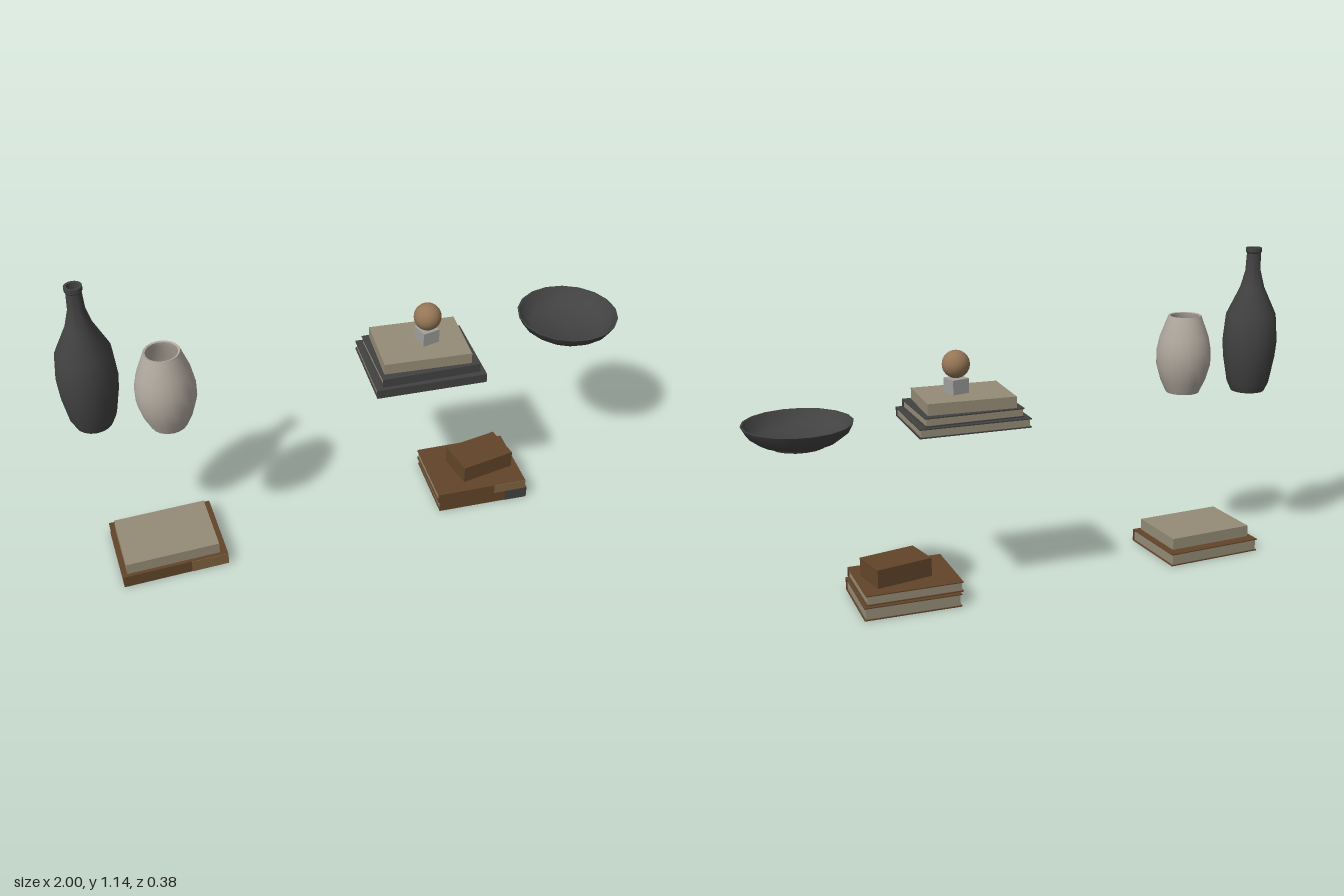
import * as THREE from 'three';
import { toCreasedNormals } from 'three/addons/utils/BufferGeometryUtils.js';

const mat = (name, color) => {
  const m = new THREE.MeshStandardMaterial({ color });
  m.name = name;
  return m;
};

export function createModel() {
  const brown = mat('brown cover', 0x62452a);
  const tan = mat('tan label', 0x7f6240);
  const cream = mat('cream paper', 0x958c76);
  const charcoal = mat('charcoal', 0x424242);
  const clay = mat('pale clay', 0xb0a89d);
  const wood = mat('light wood', 0x957656);
  const stone = mat('grey stone', 0xa0a09d);

  const root = new THREE.Group();
  root.name = 'shelfDecor';

  function box(parent, name, material, size, pos, rot = 0) {
    const m = new THREE.Mesh(new THREE.BoxGeometry(...size), material);
    m.name = name;
    m.position.set(...pos);
    m.rotation.y = rot;
    parent.add(m);
    return m;
  }

  // Hollow turned vessel; the profile runs from the base up the outside and down the inside
  function vessel(name, material, x, y, z, profile, segments = 18) {
    const pts = profile.map(([r, h]) => new THREE.Vector2(r, h));
    const geo = toCreasedNormals(new THREE.LatheGeometry(pts, segments), 0.6);
    const m = new THREE.Mesh(geo, material);
    m.name = name;
    m.position.set(x, y, z);
    root.add(m);
  }

  // Book with a page block, two covers, a front spine and an optional spine label at the right end
  function book(name, cover, x, y, z, w, h, d, rot, label, labelWidth = 0) {
    const g = new THREE.Group();
    g.name = name;
    g.position.set(x, y, z);
    g.rotation.y = rot;
    root.add(g);
    const t = 0.004;
    box(g, 'pages', cream, [w - 0.01, h - 2 * t, d - 0.008], [0, h / 2, 0]);
    box(g, 'bottomCover', cover, [w, t, d], [0, t / 2, 0]);
    box(g, 'topCover', cover, [w, t, d], [0, h - t / 2, 0]);
    box(g, 'spine', cover, [w, h - 2 * t, t], [0, h / 2, d / 2 - t / 2]);
    if (label) {
      box(g, 'spineLabel', label, [labelWidth, h - 0.001, 0.002], [w / 2 - labelWidth / 2, h / 2, d / 2 + 0.001]);
    }
  }

  // Tall bottle
  vessel('bottle', charcoal, -0.9, 0.61, -0.03, [
    [0, 0], [0.062, 0], [0.078, 0.035], [0.095, 0.13], [0.1, 0.19], [0.091, 0.29],
    [0.044, 0.39], [0.028, 0.45], [0.025, 0.515], [0.029, 0.52], [0.029, 0.535],
    [0.02, 0.535], [0.018, 0.45], [0, 0.44],
  ]);

  // Squat vase
  vessel('vase', clay, -0.665, 0.61, 0.052, [
    [0, 0], [0.062, 0], [0.083, 0.045], [0.1, 0.105], [0.1, 0.16], [0.09, 0.21],
    [0.064, 0.28], [0.06, 0.29], [0.053, 0.288], [0.056, 0.27], [0.08, 0.21],
    [0.088, 0.14], [0.055, 0.02], [0, 0.02],
  ]);

  // Shallow footed bowl
  vessel('bowl', charcoal, 0.82, 0.61, -0.009, [
    [0, 0.008], [0.078, 0.008], [0.082, 0], [0.092, 0], [0.097, 0.012], [0.13, 0.018],
    [0.165, 0.045], [0.181, 0.075], [0.175, 0.075], [0.158, 0.048], [0.13, 0.028], [0, 0.024],
  ]);

  // Upper stack with a small block and ball on top
  book('largeDarkBook', charcoal, 0.237, 0.61, 0.02, 0.391, 0.033, 0.305, -0.08);
  book('smallDarkBook', charcoal, 0.237, 0.643, 0.02, 0.35, 0.032, 0.27, -0.06);
  box(root, 'upperPaperBlock', cream, [0.309, 0.04, 0.231], [0.235, 0.695, 0.018], -0.11);
  box(root, 'pedestal', stone, [0.064, 0.051, 0.06], [0.257, 0.7405, 0.024], 0.2);
  const ball = new THREE.Mesh(new THREE.SphereGeometry(0.048, 24, 16), wood);
  ball.name = 'ball';
  ball.position.set(0.257, 0.814, 0.025);
  root.add(ball);

  // Lower left stack
  book('leftBook', brown, -0.712, 0, 0.002, 0.376, 0.047, 0.29, 0, tan, 0.133);
  box(root, 'leftPaperBlock', cream, [0.332, 0.043, 0.237], [-0.717, 0.0685, 0.015]);

  // Lower right stack with a wooden box
  book('rightLowerBook', brown, 0.472, 0, 0.015, 0.342, 0.047, 0.282, -0.08, charcoal, 0.085);
  book('rightUpperBook', brown, 0.462, 0.047, 0.023, 0.342, 0.037, 0.27, -0.07, tan, 0.122);
  box(root, 'keepsakeBox', brown, [0.207, 0.067, 0.137], [0.493, 0.1175, 0.024], 0.14);

  return root;
}
